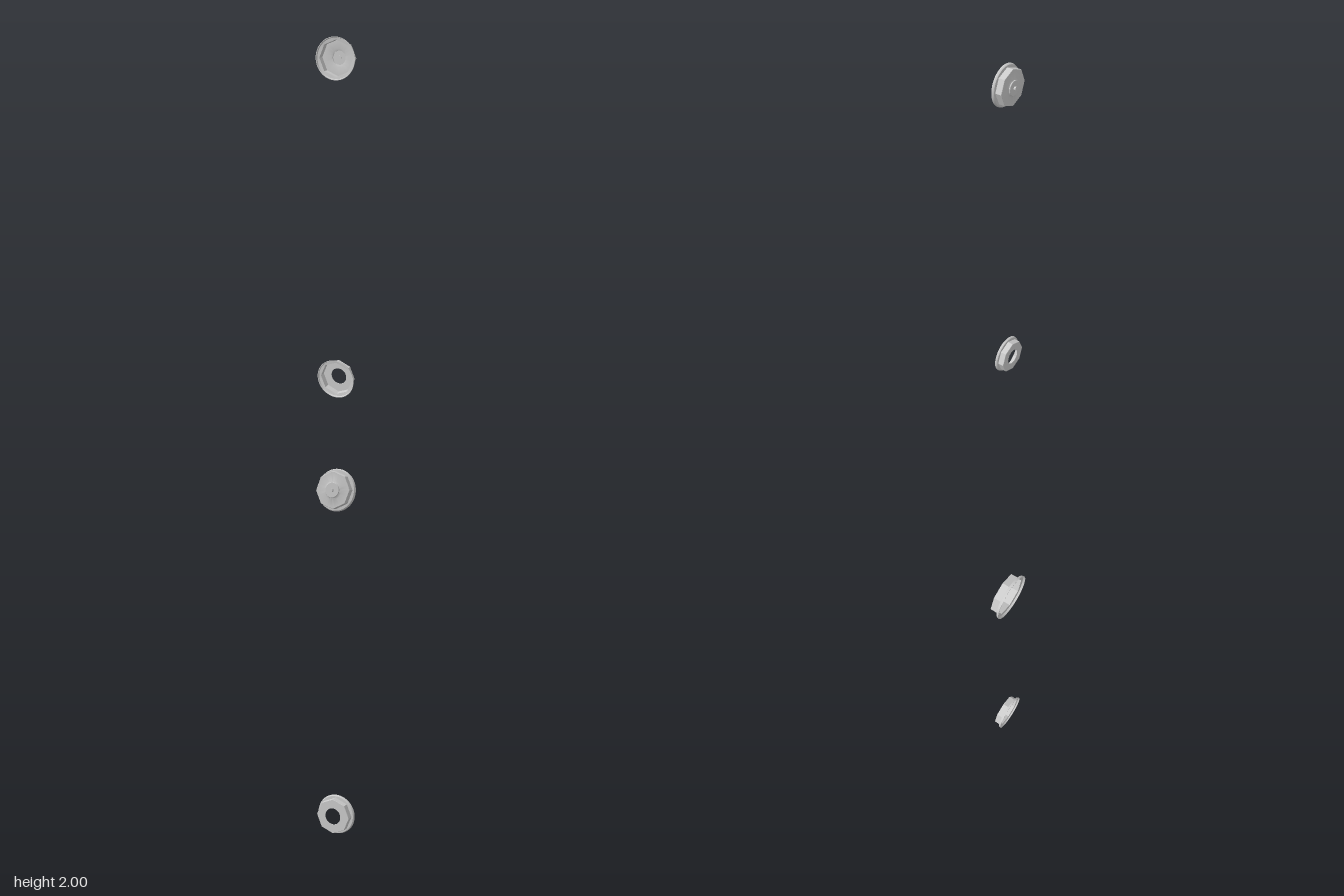
import * as THREE from 'three';
import { toCreasedNormals } from 'three/addons/utils/BufferGeometryUtils.js';

const SEGMENTS = 64;
const material = new THREE.MeshStandardMaterial({ color: 0xcccccc });

// Ring radius at an angle: a circle, or an octagon with a corner at the top
function ringRadius(r, octagon, angle) {
  if (!octagon) return r;
  const step = Math.PI / 4;
  return r * Math.cos(step / 2) / Math.cos((angle % step) - step / 2);
}

// Sweeps a profile of [radius, z, octagon] rings around the z axis
function loft(profile) {
  const positions = [];
  const point = ([r, z, octagon], j) => {
    const a = ((j % SEGMENTS) / SEGMENTS) * Math.PI * 2;
    const d = ringRadius(r, octagon, a);
    return [d * Math.sin(a), d * Math.cos(a), z];
  };
  for (let i = 0; i < profile.length - 1; i++) {
    const p = profile[i], q = profile[i + 1];
    for (let j = 0; j < SEGMENTS; j++) {
      const a = point(p, j), b = point(q, j), c = point(q, j + 1), d = point(p, j + 1);
      if (q[0] > 0) positions.push(...a, ...b, ...c);
      if (p[0] > 0) positions.push(...a, ...c, ...d);
    }
  }
  const geometry = new THREE.BufferGeometry();
  geometry.setAttribute('position', new THREE.Float32BufferAttribute(positions, 3));
  return toCreasedNormals(geometry, 0.6);
}

// Thin octagonal cup opening to the front, with a round flared rim
const cupWall = [
  [0.0965, -0.016, true], [0.098, -0.0145, true], [0.098, 0.019, true],
  [0.106, 0.02, false], [0.108, 0.022, false], [0.111, 0.031, false], [0.111, 0.033, false],
  [0.108, 0.033, false], [0.105, 0.024, false], [0.095, 0.022, true], [0.095, -0.013, true],
];

// Raised boss in the middle of the closed cup
const bossOutside = [
  [0, -0.025], [0.038, -0.025], [0.04, -0.023], [0.04, -0.019], [0.042, -0.018], [0.05, -0.016],
];
const bossInside = [[0.047, -0.013], [0.037, -0.016], [0.037, -0.022], [0, -0.022]];

// Round opening in the middle of the open cup
const holeBack = [[0.046, -0.016]];
const holeFront = [[0.046, -0.013], [0.046, -0.016]];

function makeCap(name, start, end, y) {
  const cap = new THREE.Group();
  cap.name = name;
  cap.position.y = y;
  const cup = new THREE.Mesh(loft([...start, ...cupWall, ...end]), material);
  cup.name = name + 'Cup';
  cap.add(cup);
  return cap;
}

export function createModel() {
  const model = new THREE.Group();
  model.name = 'octagonalCaps';

  const closedCap = makeCap('closedCap', bossOutside, bossInside, 1.889);
  const openCap = makeCap('openCap', holeBack, holeFront, 0.111);

  // Pin through the boss
  const pin = new THREE.Mesh(
    new THREE.CylinderGeometry(0.01, 0.01, 0.015, 24).rotateX(Math.PI / 2), material);
  pin.name = 'pin';
  pin.position.z = -0.0275;
  closedCap.add(pin);

  model.add(closedCap, openCap);
  return model;
}
